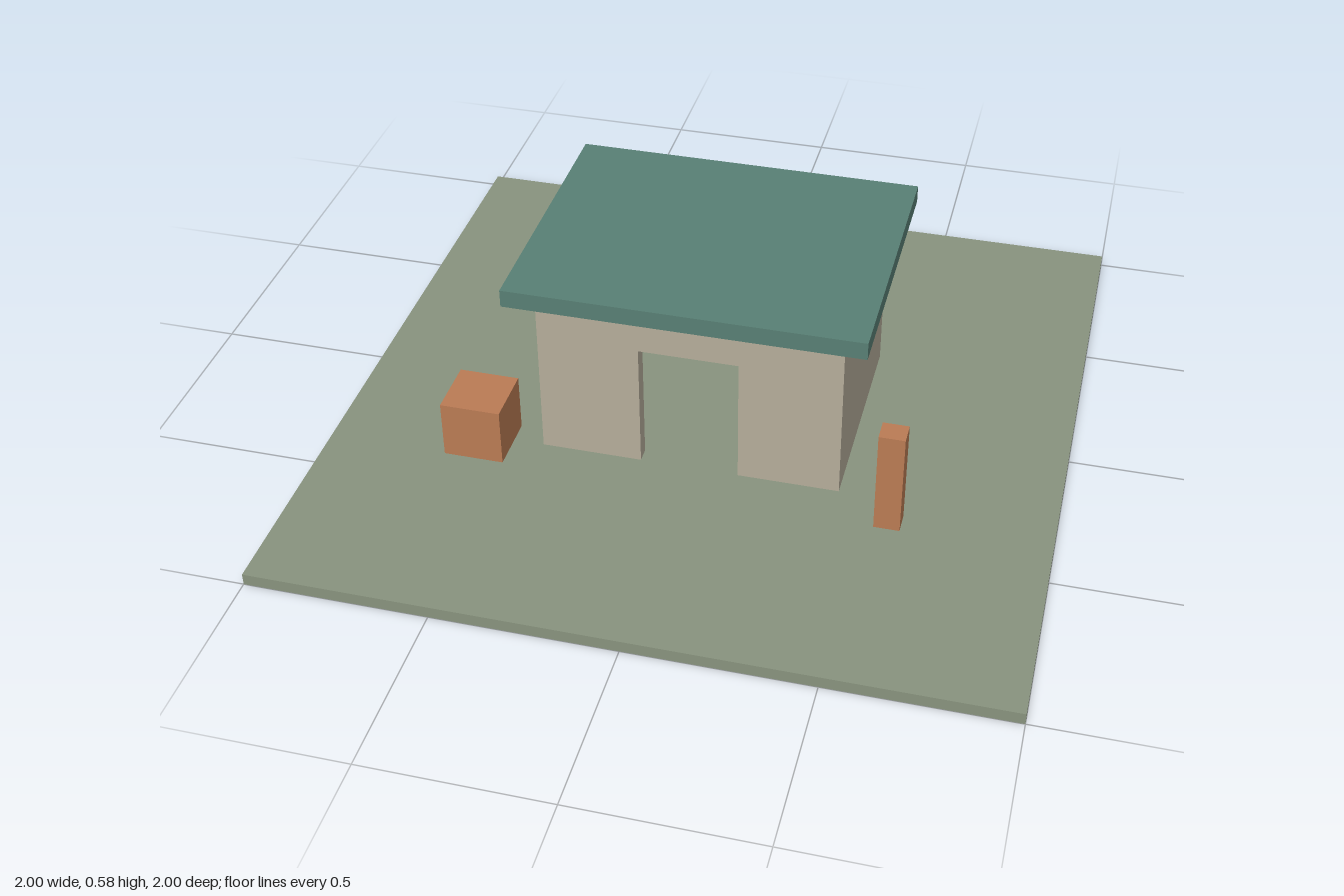
import * as THREE from 'three';

const material = (name, color) => {
  const m = new THREE.MeshStandardMaterial({ color });
  m.name = name;
  return m;
};

export function createModel() {
  const model = new THREE.Group();
  model.name = 'hut';
  const grass = material('sage green', 0x88937e);
  const plaster = material('warm plaster', 0xb5ad9a);
  const teal = material('teal roof', 0x587f74);
  const clay = material('clay orange', 0xba7b54);

  // Box given by its min and max corners
  const box = (name, mat, [x0, y0, z0], [x1, y1, z1]) => {
    const mesh = new THREE.Mesh(new THREE.BoxGeometry(x1 - x0, y1 - y0, z1 - z0), mat);
    mesh.position.set((x0 + x1) / 2, (y0 + y1) / 2, (z0 + z1) / 2);
    mesh.name = name;
    model.add(mesh);
  };

  const floor = 0.033, eave = 0.535;  // ground top and wall top
  const w = 0.415, d = 0.313, t = 0.042;  // wall half width, half depth, thickness

  box('ground', grass, [-1, 0, -1], [1, floor, 1]);

  // Hollow house: back and side walls
  box('backWall', plaster, [-w, floor, -d], [w, eave, -d + t]);
  box('leftWall', plaster, [w - t, floor, -d + t], [w, eave, d - t]);
  box('rightWall', plaster, [-w, floor, -d + t], [-w + t, eave, d - t]);

  // Front wall outline with an open doorway
  const door = 0.136, doorTop = 0.402;
  const outline = new THREE.Shape([
    [-w, floor], [-door, floor], [-door, doorTop], [door, doorTop],
    [door, floor], [w, floor], [w, eave], [-w, eave],
  ].map(([x, y]) => new THREE.Vector2(x, y)));
  const front = new THREE.Mesh(
    new THREE.ExtrudeGeometry(outline, { depth: t, bevelEnabled: false }), plaster);
  front.position.z = d - t;
  front.name = 'frontWall';
  model.add(front);

  // Flat overhanging roof
  box('roof', teal, [-0.484, eave, -0.383], [0.484, 0.585, 0.383]);

  // Crate and post standing in the yard
  box('crate', clay, [-0.667, floor, 0.25], [-0.5, 0.2, 0.415]);
  box('post', clay, [0.53, floor, 0.37], [0.6, 0.335, 0.432]);

  return model;
}
